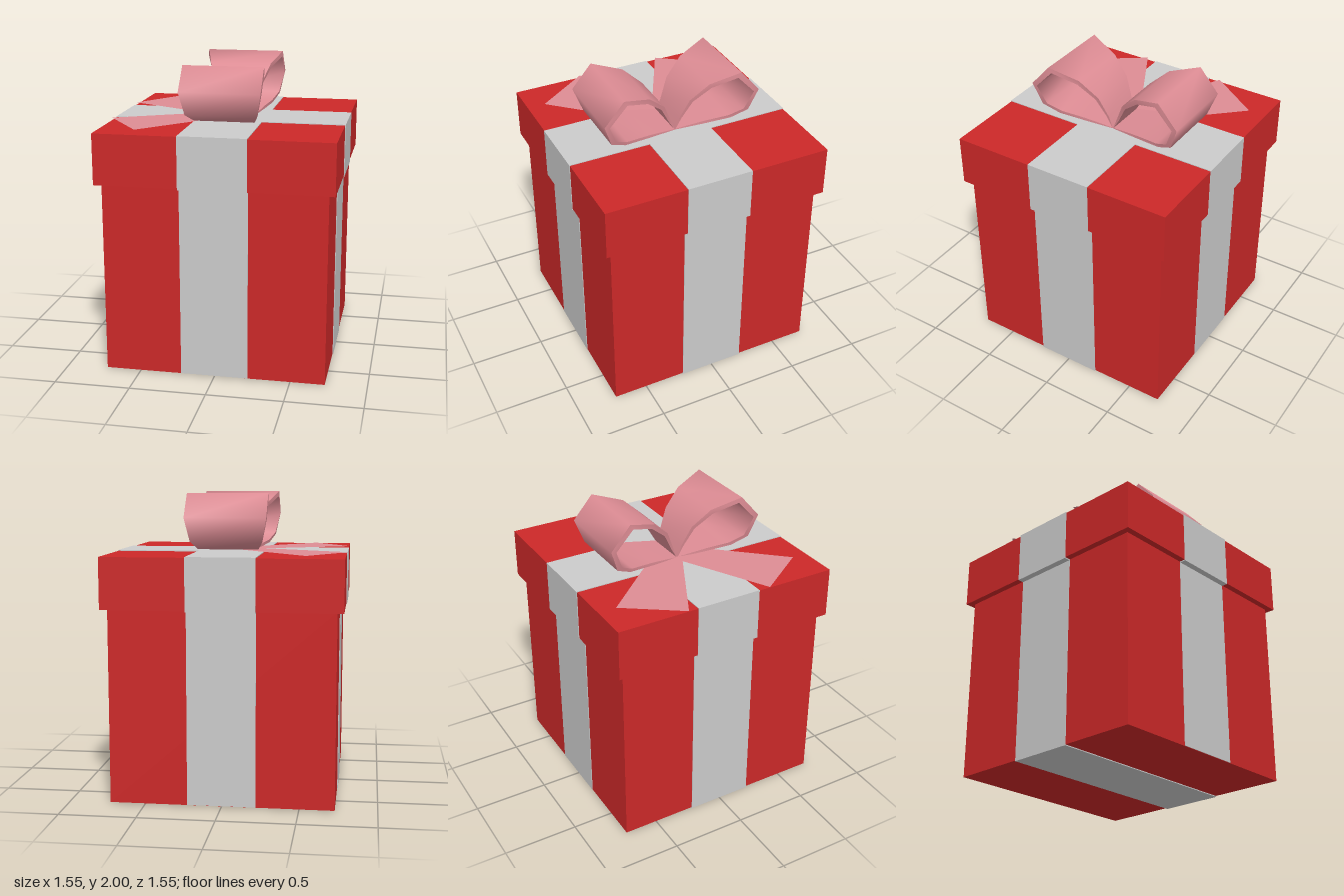
import * as THREE from 'three';

const paint = (color, side = THREE.FrontSide) => new THREE.MeshStandardMaterial({ color, side });

// Smooth strip of quads between two rows of points
function strip(name, rowA, rowB, material) {
  const index = [];
  const n = rowA.length;
  for (let i = 0; i < n - 1; i++) index.push(i, n + i, i + 1, i + 1, n + i, n + i + 1);
  const geo = new THREE.BufferGeometry().setFromPoints([...rowA, ...rowB]);
  geo.setIndex(index);
  geo.computeVertexNormals();
  const mesh = new THREE.Mesh(geo, material);
  mesh.name = name;
  return mesh;
}

// Bow loop: outer and inner outline as [z, y, half width]
function bowLoop(name, material) {
  const outer = [[0, 1.612, 0.14], [0.2, 1.622, 0.17], [0.38, 1.636, 0.2], [0.49, 1.69, 0.235],
    [0.545, 1.845, 0.265], [0.41, 2, 0.265], [0.21, 1.935, 0.21], [0.09, 1.825, 0.17],
    [0.03, 1.69, 0.14], [0, 1.612, 0.14]];
  const inner = [[0.006, 1.618, 0.14], [0.2, 1.642, 0.17], [0.365, 1.657, 0.2], [0.457, 1.703, 0.235],
    [0.51, 1.835, 0.265], [0.388, 1.966, 0.265], [0.225, 1.905, 0.21], [0.112, 1.81, 0.17],
    [0.045, 1.685, 0.14], [0.006, 1.618, 0.14]];
  const row = (profile, s) => profile.map(([z, y, w]) => new THREE.Vector3(s * w, y, z));
  const group = new THREE.Group();
  group.name = name;
  group.add(
    strip('loopOutside', row(outer, 1), row(outer, -1), material),
    strip('loopInside', row(inner, -1), row(inner, 1), material),
    strip('loopEdgeLeft', row(inner, 1), row(outer, 1), material),
    strip('loopEdgeRight', row(outer, -1), row(inner, -1), material)
  );
  return group;
}

export function createModel() {
  const model = new THREE.Group();
  model.name = 'giftBox';
  const red = paint(0xcc2828);
  const grey = paint(0xcccccc);
  const pink = paint(0xdd8c94, THREE.DoubleSide);

  const block = (name, width, depth, bottom, top, material) => {
    const mesh = new THREE.Mesh(new THREE.BoxGeometry(width, top - bottom, depth), material);
    mesh.name = name;
    mesh.position.y = (bottom + top) / 2;
    model.add(mesh);
  };

  // Box and lid
  block('boxBody', 1.456, 1.456, 0.006, 1.28, red);
  block('lid', 1.54, 1.54, 1.273, 1.608, red);

  // Ribbons wrapped around the box and the lid; only the side-to-side one runs underneath
  block('boxRibbonSide', 1.464, 0.444, 0, 1.275, grey);
  block('boxRibbonFront', 0.444, 1.464, 0.008, 1.275, grey);
  block('lidRibbonSide', 1.548, 0.444, 1.266, 1.613, grey);
  block('lidRibbonFront', 0.444, 1.548, 1.266, 1.613, grey);

  // Bow loops to front and back
  const front = bowLoop('bowLoopFront', pink);
  const back = bowLoop('bowLoopBack', pink);
  back.rotation.y = Math.PI;
  model.add(front, back);

  // Flat ribbon tails spreading over the lid
  for (const s of [1, -1]) {
    const p = (x, z) => new THREE.Vector3(x, 1.618, s * z);
    const inside = [p(-0.78, 0.295), p(-0.21, 0), p(0, 0)];
    const outside = [p(-0.525, 0.655), p(-0.235, 0.34), p(0.07, 0.01)];
    const rows = s > 0 ? [outside, inside] : [inside, outside];
    model.add(strip(s > 0 ? 'tailFront' : 'tailBack', rows[1], rows[0], pink));
  }
  return model;
}
